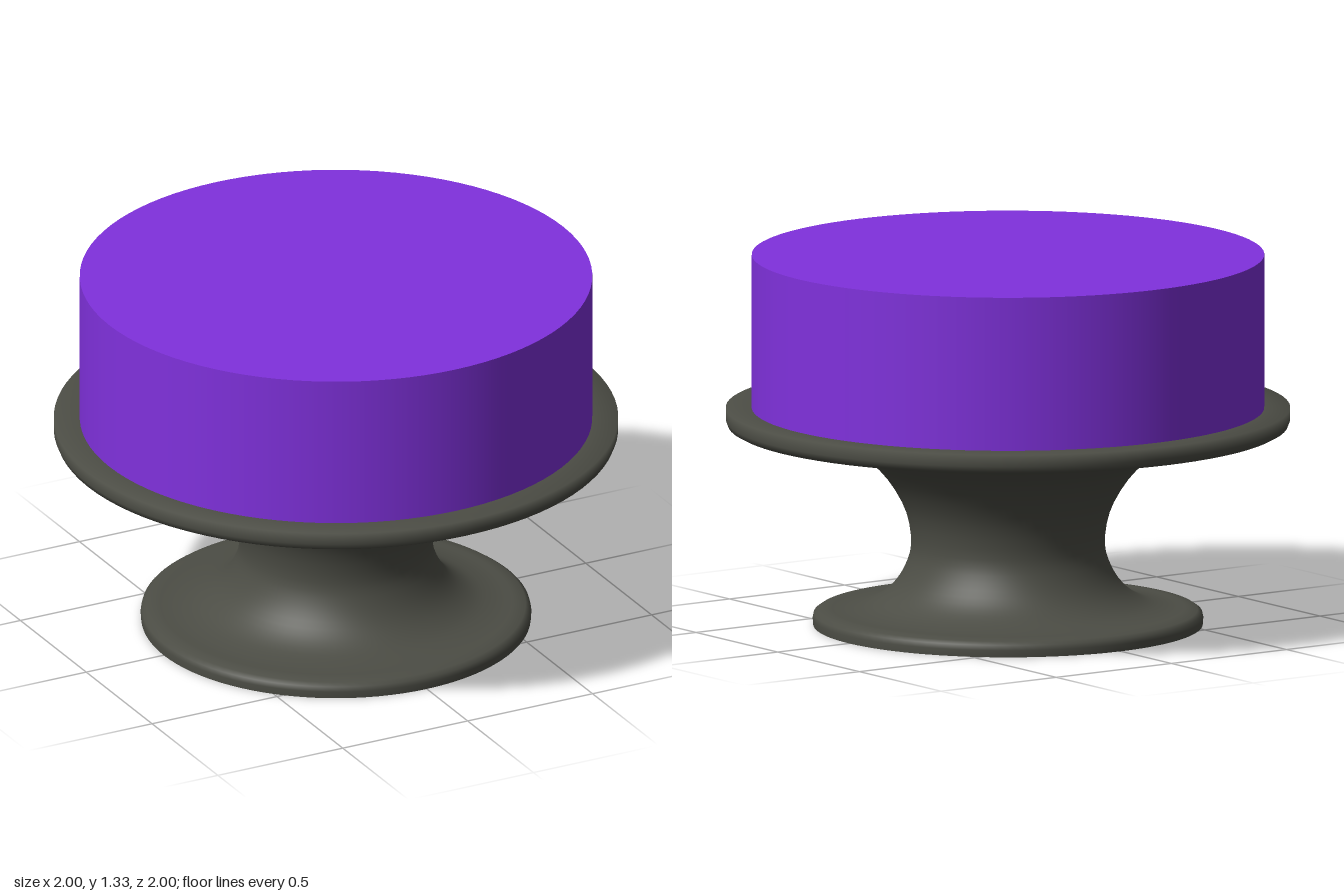
import * as THREE from 'three';

const SEGMENTS = 96;
const vec = (x, y) => new THREE.Vector2(x, y);

export function createModel() {
  const model = new THREE.Group();
  model.name = 'cakeOnStand';

  const standGrey = new THREE.MeshStandardMaterial({ color: 0x4c4d45 });
  standGrey.name = 'standGrey';
  const icingPurple = new THREE.MeshStandardMaterial({ color: 0x8031dd });
  icingPurple.name = 'icingPurple';

  // Flared pedestal between the foot and the plate
  const stem = new THREE.SplineCurve([
    vec(0.64, 0.06), vec(0.57, 0.064), vec(0.487, 0.085), vec(0.415, 0.135),
    vec(0.365, 0.21), vec(0.343, 0.3), vec(0.37, 0.43), vec(0.46, 0.565),
    vec(0.58, 0.645), vec(0.69, 0.682), vec(0.8, 0.697), vec(0.94, 0.705),
  ]).getPoints(36);

  // Stand: rounded foot, stem and plate turned as one piece
  const profile = [
    vec(0.69, 0), vec(0.692, 0.025), vec(0.688, 0.043), vec(0.672, 0.054),
    ...stem,
    vec(0.975, 0.709), vec(0.992, 0.718), vec(1, 0.738), vec(1, 0.78),
    vec(0.9, 0.78), vec(0, 0.78),
  ];
  const stand = new THREE.Mesh(new THREE.LatheGeometry(profile, SEGMENTS), standGrey);
  stand.name = 'stand';

  // Flat underside of the foot
  const underside = new THREE.Mesh(new THREE.CircleGeometry(0.69, SEGMENTS), standGrey);
  underside.name = 'footUnderside';
  underside.rotation.x = Math.PI / 2;

  // Plain round cake
  const cake = new THREE.Mesh(new THREE.CylinderGeometry(0.908, 0.908, 0.55, SEGMENTS), icingPurple);
  cake.name = 'cake';
  cake.position.y = 0.78 + 0.275;

  model.add(stand, underside, cake);
  return model;
}
